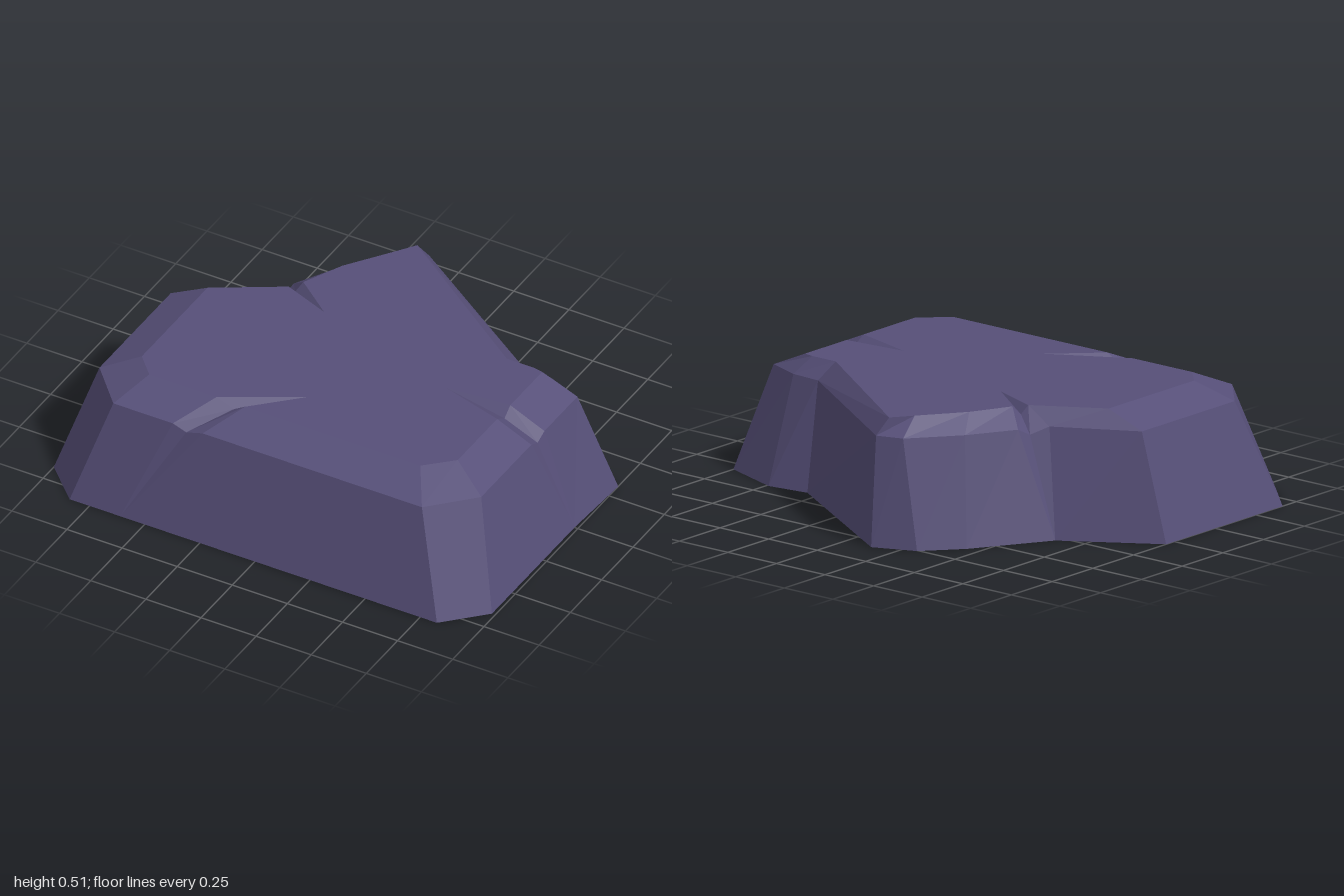
import * as THREE from 'three';

// Each column of the rock: [foot x,z], [shoulder x,y,z], [rim x,y,z], optional crack tip [x,z]
const H = 0.44, T = 0.51;
const columns = [
  // left side
  [[-1, -0.05], [-0.875, H, -0.05], [-0.72, T, -0.07]],
  [[-1, 0.665], [-0.875, H, 0.52], [-0.72, T, 0.455]],
  // front, with a crack
  [[-0.84, 0.82], [-0.71, H, 0.7], [-0.635, T, 0.545]],
  [[-0.61, 0.82], [-0.44, H, 0.7], [-0.33, T, 0.545]],
  [[-0.61, 0.82], [-0.385, 0.41, 0.69], [-0.25, 0.48, 0.545], [-0.02, 0.37]],
  [[-0.61, 0.82], [-0.305, H, 0.7], [-0.2, T, 0.545]],
  [[0.826, 0.82], [0.69, H, 0.7], [0.595, T, 0.545]],
  // right side, with a crack
  [[0.985, 0.66], [0.86, H, 0.525], [0.705, T, 0.44]],
  [[0.985, 0], [0.86, H, 0.125], [0.705, T, 0.125]],
  [[0.985, 0], [0.855, 0.41, 0.066], [0.705, 0.475, 0.066], [0.43, 0.045]],
  [[0.985, 0], [0.86, H, 0.02], [0.705, T, 0.02]],
  [[1, -0.323], [0.86, H, -0.243], [0.705, T, -0.235]],
  // back, running out to the point
  [[0.74, -0.417], [0.71, H, -0.3], [0.66, T, -0.243]],
  [[0.56, -0.393], [0.575, H, -0.31], [0.54, T, -0.243]],
  [[-0.135, -0.83], [-0.11, H, -0.77], [-0.14, T, -0.725]],
  [[-0.31, -0.757], [-0.22, H, -0.735], [-0.2, T, -0.64]],
  [[-0.44, -0.607], [-0.375, H, -0.54], [-0.33, T, -0.46]],
  // back left crack
  [[-0.63, -0.29], [-0.485, H, -0.345], [-0.41, T, -0.29]],
  [[-0.63, -0.29], [-0.5, 0.41, -0.29], [-0.43, 0.475, -0.262], [-0.24, -0.157]],
  [[-0.63, -0.29], [-0.55, H, -0.23], [-0.445, T, -0.235]],
];

// Flat-faceted mesh from a list of triangles
function facetMesh(name, triangles, material) {
  const geometry = new THREE.BufferGeometry();
  geometry.setAttribute('position', new THREE.Float32BufferAttribute(triangles.flat(2), 3));
  geometry.computeVertexNormals();
  const mesh = new THREE.Mesh(geometry, material);
  mesh.name = name;
  return mesh;
}

// Joins two rings of points; repeated points collapse to single triangles
function band(lower, upper) {
  const same = (a, b) => a.every((v, i) => v === b[i]);
  const triangles = [];
  lower.forEach((a, i) => {
    const j = (i + 1) % lower.length;
    const b = lower[j], c = upper[j], d = upper[i];
    if (!same(a, b)) triangles.push([a, b, c]);
    triangles.push([a, c, d]);
  });
  return triangles;
}

export function createModel() {
  const group = new THREE.Group();
  group.name = 'rock';
  const stone = new THREE.MeshStandardMaterial({ color: 0x564f78, flatShading: true, side: THREE.DoubleSide });
  stone.name = 'purpleStone';

  const foot = columns.map(([[x, z]]) => [x, 0, z]);
  const shoulder = columns.map((c) => c[1]);
  const rim = columns.map((c) => c[2]);

  group.add(facetMesh('rockWalls', band(foot, shoulder), stone));
  group.add(facetMesh('rockBevel', band(shoulder, rim), stone));

  // Flat top, cut in to the tip of each crack
  const outline = columns.map((c) => (c[3] ? [c[3][0], T, c[3][1]] : c[2]));
  const faces = THREE.ShapeUtils.triangulateShape(outline.map(([x, , z]) => new THREE.Vector2(x, -z)), []);
  group.add(facetMesh('rockTop', faces.map((f) => f.map((i) => outline[i])), stone));

  // Sloping sides of the cracks
  const cracks = [];
  columns.forEach((c, i) => {
    if (!c[3]) return;
    cracks.push([rim[i - 1], rim[i], outline[i]], [rim[i], rim[i + 1], outline[i]]);
  });
  group.add(facetMesh('rockCracks', cracks, stone));
  return group;
}
